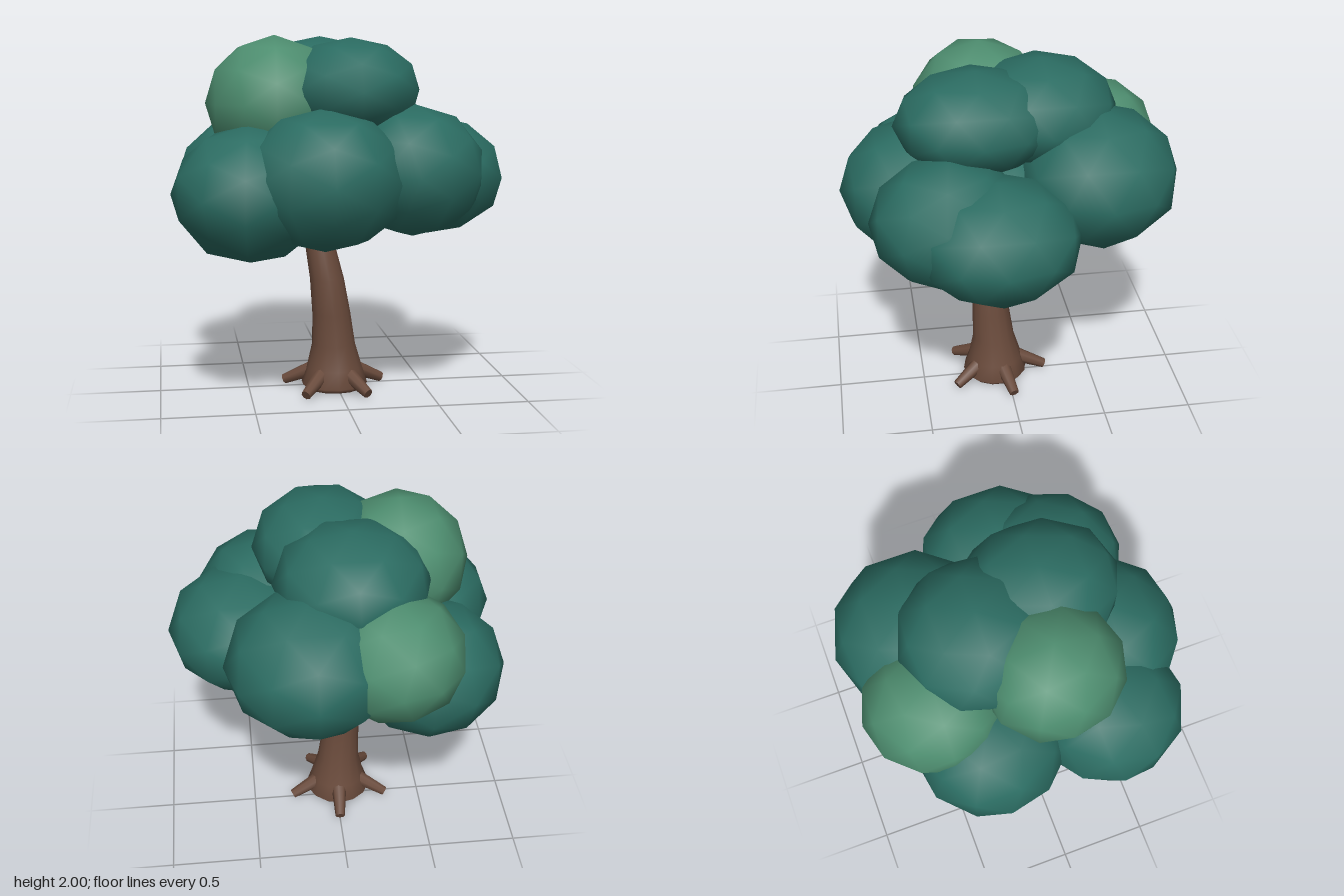
import * as THREE from 'three';
import { mergeVertices } from 'three/addons/utils/BufferGeometryUtils.js';

function material(name, color) {
  const m = new THREE.MeshStandardMaterial({ color });
  m.name = name;
  return m;
}

// Tapered round limb between two points
function limb(name, from, to, r0, r1, mat) {
  const a = new THREE.Vector3(...from);
  const dir = new THREE.Vector3(...to).sub(a);
  const length = dir.length();
  const mesh = new THREE.Mesh(new THREE.CylinderGeometry(r1, r0, length, 8), mat);
  mesh.quaternion.setFromUnitVectors(new THREE.Vector3(0, 1, 0), dir.clone().normalize());
  mesh.position.copy(a).addScaledVector(dir, 0.5);
  mesh.name = name;
  return mesh;
}

// Trunk: a cylinder whose rings follow a leaning, flared profile
function trunkGeometry() {
  // height, centre x, centre z, radius
  const rings = [
    [0.015, -0.015, 0.068, 0.165],
    [0.04, -0.015, 0.068, 0.188],
    [0.13, -0.014, 0.068, 0.158],
    [0.27, -0.02, 0.075, 0.122],
    [0.45, -0.035, 0.088, 0.108],
    [0.65, -0.06, 0.088, 0.096],
    [0.85, -0.098, 0.062, 0.083],
    [0.96, -0.122, 0.035, 0.078],
  ];
  const n = rings.length - 1;
  const geo = new THREE.CylinderGeometry(1, 1, n, 14, n);
  const p = geo.attributes.position;
  for (let i = 0; i < p.count; i++) {
    const [y, cx, cz, r] = rings[Math.round(p.getY(i) + n / 2)];
    p.setXYZ(i, cx + p.getX(i) * r, y, cz + p.getZ(i) * r);
  }
  geo.deleteAttribute('uv');
  geo.deleteAttribute('normal');
  const smooth = mergeVertices(geo, 1e-4);
  smooth.computeVertexNormals();
  return smooth;
}

export function createModel() {
  const tree = new THREE.Group();
  tree.name = 'tree';
  const bark = material('bark brown', 0x694a3b);
  const dark = material('dark leaf green', 0x2b6c62);
  const light = material('light leaf green', 0x4d8d6f);

  const trunk = new THREE.Mesh(trunkGeometry(), bark);
  trunk.name = 'trunk';
  tree.add(trunk);

  // Five roots spread evenly around the base
  for (let i = 0; i < 5; i++) {
    const a = Math.PI / 4 - 0.22 + (i * Math.PI * 2) / 5;
    const at = (r, y) => [-0.018 + r * Math.sin(a), y, 0.065 + r * Math.cos(a)];
    tree.add(limb('root', at(0.11, 0.115), at(0.295, 0.032), 0.046, 0.028, bark));
  }

  // Short branches reaching into the crown
  for (const tip of [[-0.17, 0.95, -0.07], [0.0, 1.1, 0.1], [-0.18, 1.1, 0.12]]) {
    tree.add(limb('branch', [-0.108, 0.86, 0.045], tip, 0.055, 0.038, bark));
  }

  // Crown: overlapping rounded leaf clumps
  const crown = new THREE.Group();
  crown.name = 'crown';
  tree.add(crown);
  // name, material, centre, radii, turn of the facets
  const clumps = [
    ['topFrontClump', dark, [0.06, 1.705, 0.175], [0.375, 0.278, 0.435], 0],
    ['topBackClump', dark, [-0.06, 1.7, -0.2], [0.41, 0.29, 0.41], 0],
    ['topSideClump', light, [-0.35, 1.635, 0.1], [0.37, 0.36, 0.38], 0.5],
    ['backSideClump', light, [-0.245, 1.43, -0.505], [0.37, 0.335, 0.385], 2.1],
    ['backClump', dark, [0.175, 1.395, -0.47], [0.45, 0.375, 0.44], 0],
    ['leftClump', dark, [0.51, 1.23, 0.12], [0.41, 0.325, 0.44], 0],
    ['frontLeftClump', dark, [0.372, 1.28, 0.355], [0.38, 0.35, 0.42], 0.9],
    ['frontClump', dark, [-0.125, 1.25, 0.5], [0.43, 0.37, 0.41], 0],
    ['frontRightClump', dark, [-0.51, 1.17, 0.375], [0.41, 0.36, 0.415], 5.6],
    ['backRightClump', dark, [-0.46, 1.18, -0.285], [0.415, 0.362, 0.415], 0.5],
    ['innerClump', dark, [0.0, 1.225, -0.03], [0.4, 0.32, 0.36], 0],
  ];
  for (const [name, mat, centre, radii, turn] of clumps) {
    const geo = new THREE.IcosahedronGeometry(1.02, 1);
    geo.rotateY(turn);
    const clump = new THREE.Mesh(geo, mat);
    clump.position.set(...centre);
    clump.scale.set(...radii);
    clump.name = name;
    crown.add(clump);
  }

  return tree;
}
